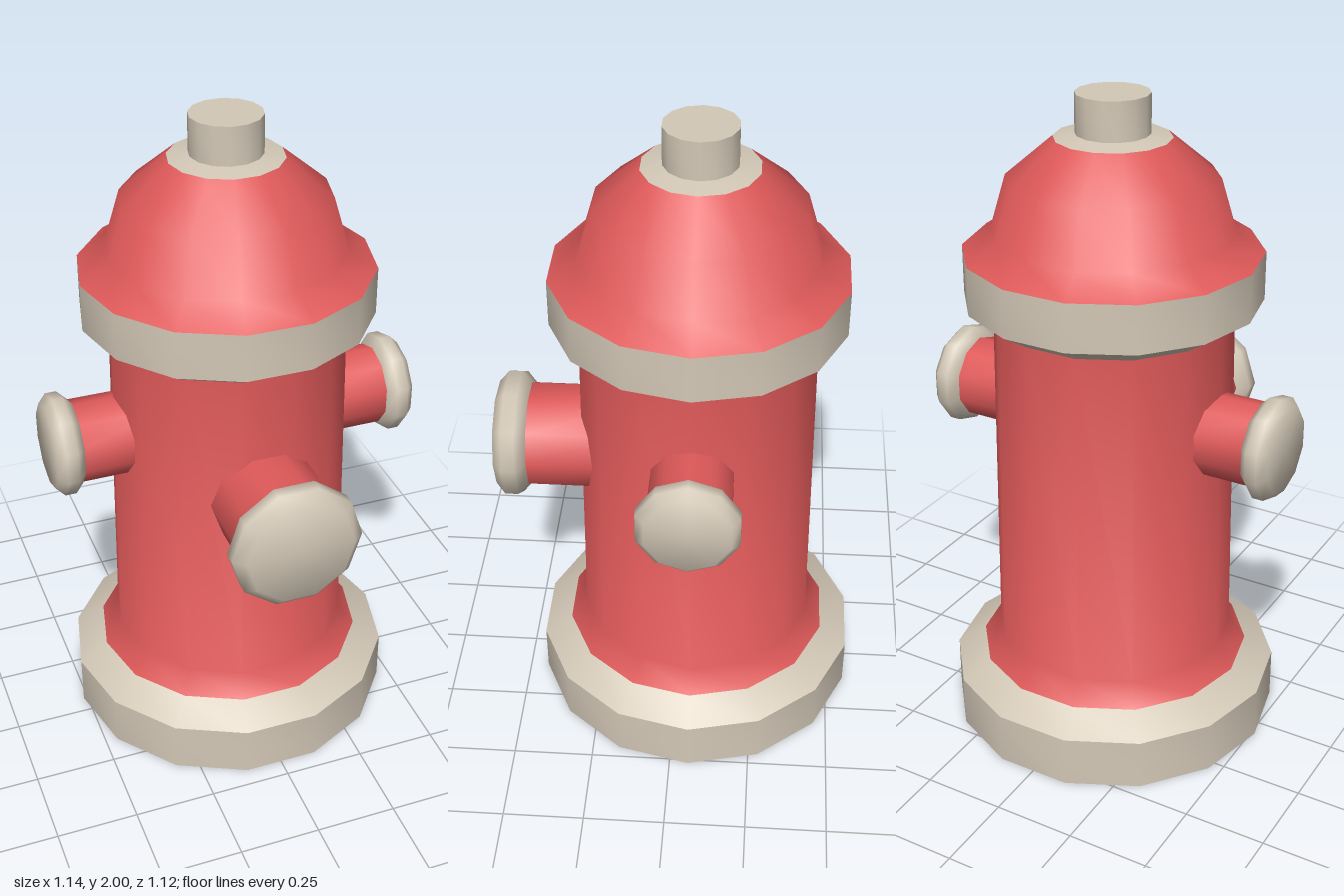
import * as THREE from 'three';
import { toCreasedNormals } from 'three/addons/utils/BufferGeometryUtils.js';

// Faceted turned part with corners on the x axis; profile is [radius, height] from bottom to top
function turned(name, profile, sides, material, crease = 0.9) {
  const points = profile.map(([r, y]) => new THREE.Vector2(r, y));
  const lathe = new THREE.LatheGeometry(points, sides, Math.PI / 2);
  const mesh = new THREE.Mesh(toCreasedNormals(lathe, crease), material);
  mesh.name = name;
  return mesh;
}

export function createModel() {
  const red = new THREE.MeshStandardMaterial({ color: 0xdf5959 });
  red.name = 'red paint';
  const stone = new THREE.MeshStandardMaterial({ color: 0xd3c8b7 });
  stone.name = 'warm grey';

  const model = new THREE.Group();
  model.name = 'hydrant';

  // Upright stack, set slightly back so the front outlet balances the depth
  const column = new THREE.Group();
  column.name = 'column';
  column.position.z = -0.058;
  model.add(column);

  column.add(
    turned('base', [[0, 0], [0.513, 0], [0.513, 0.16], [0.423, 0.218]], 14, stone),
    turned('barrel', [[0.423, 0.218], [0.37, 0.287], [0.357, 1.346]], 14, red),
    turned('collar', [[0.357, 1.346], [0.441, 1.398], [0.441, 1.543]], 14, stone),
    turned('dome', [[0.441, 1.543], [0.355, 1.6], [0.308, 1.758], [0.17, 1.874]], 14, red),
    turned('domePlate', [[0.17, 1.874], [0.108, 1.885]], 14, stone),
    turned('topNut', [[0.108, 1.885], [0.108, 2], [0, 2]], 14, stone),
  );

  // Outlet: red pipe with a bevelled cap, pointing along its own y axis
  function outlet(name, height, pipeR, capR, capStart, capEnd) {
    const group = new THREE.Group();
    group.name = name;
    group.position.y = height;
    const bevel = (capEnd - capStart) * 0.3;
    const inner = capR * 0.83;
    group.add(
      turned('pipe', [[pipeR, 0.2], [pipeR, capStart + 0.01]], 10, red),
      turned('cap', [
        [0, capStart], [inner, capStart], [capR, capStart + bevel],
        [capR, capEnd - bevel], [inner, capEnd], [0, capEnd],
      ], 10, stone, 1.0),
    );
    column.add(group);
    return group;
  }

  outlet('frontOutlet', 0.92, 0.164, 0.199, 0.517, 0.617).rotation.x = Math.PI / 2;
  for (const side of [1, -1]) {
    const name = side > 0 ? 'leftOutlet' : 'rightOutlet';
    outlet(name, 1.03, 0.126, 0.156, 0.486, 0.571).rotation.z = -side * Math.PI / 2;
  }
  return model;
}
